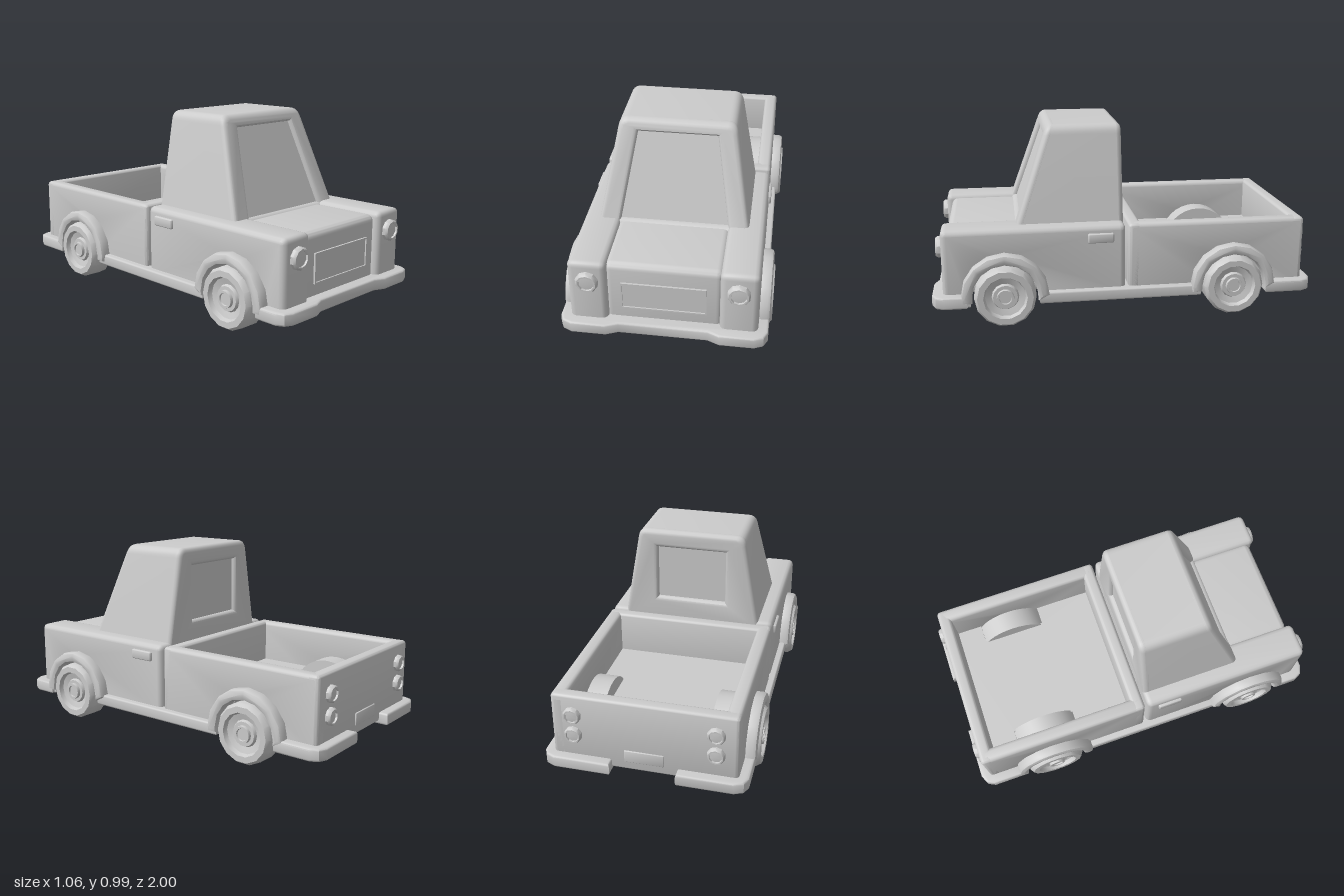
import * as THREE from 'three';
import { toCreasedNormals } from 'three/addons/utils/BufferGeometryUtils.js';
import { RoundedBoxGeometry } from 'three/addons/geometries/RoundedBoxGeometry.js';

const material = new THREE.MeshStandardMaterial({ color: 0xcccccc });
const WHEEL_Z = [0.63, -0.565];
const AXLE_Y = 0.16;
const WELL = 0.175;

export function createModel() {
  const model = new THREE.Group();

  const add = (name, geometry, x = 0, y = 0, z = 0) => {
    const mesh = new THREE.Mesh(toCreasedNormals(geometry, 0.6), material);
    mesh.name = name;
    mesh.position.set(x, y, z);
    model.add(mesh);
    return mesh;
  };
  const box = (name, w, h, d, x, y, z, r = 0.02) =>
    add(name, new RoundedBoxGeometry(w, h, d, 3, r), x, y, z);

  // Extrusion of total thickness t, with bevels kept inside the outline
  const extrude = (shape, t, b = 0, segments = 3, curveSegments = 6) =>
    new THREE.ExtrudeGeometry(shape, {
      depth: t - 2 * b, bevelEnabled: b > 0, bevelSize: b, bevelThickness: b,
      bevelOffset: -b, bevelSegments: segments, curveSegments,
    }).translate(0, 0, b);
  const polygon = (pts) => new THREE.Shape(pts.map(([x, y]) => new THREE.Vector2(x, y)));

  // Horizontal slab from an (x, z) outline, standing on y
  const slab = (name, pts, y, t, b = 0) =>
    add(name, extrude(polygon(pts.map(([x, z]) => [x, -z])), t, b).rotateX(-Math.PI / 2), 0, y, 0);

  // Side panel with a wheel opening, drawn in (-z, y) and extruded along x
  const sidePanel = (name, front, back, wheelZ, x0, x1, bevel) => {
    const s = new THREE.Shape(), u = -wheelZ, top = 0.505, r = 0.03;
    s.moveTo(-front, 0.12);
    s.lineTo(u - WELL, 0.12);
    s.absarc(u, AXLE_Y, WELL, Math.PI, 0, true);
    s.lineTo(u + WELL, 0.12);
    s.lineTo(-back, 0.12);
    s.lineTo(-back, top - r);
    s.quadraticCurveTo(-back, top, -back - r, top);
    s.lineTo(-front + r, top);
    s.quadraticCurveTo(-front, top, -front, top - r);
    for (const x of [x0, -x1]) {
      add(name, extrude(s, x1 - x0, bevel).rotateY(Math.PI / 2), x, 0, 0);
    }
  };

  // Floor plate with sills, notched for the four wheels
  const half = [[0.5, 0.93]];
  for (const z of WHEEL_Z) {
    half.push([0.5, z + WELL], [0.29, z + WELL], [0.29, z - WELL], [0.5, z - WELL]);
  }
  half.push([0.5, -0.93]);
  const mirror = (pts) => [...pts, ...pts.map(([x, z]) => [-x, z]).reverse()];
  slab('chassis', mirror(half), 0.11, 0.06, 0.01);

  // Front body: fenders, bonnet and grille
  sidePanel('fender', 0.945, 0.005, WHEEL_Z[0], 0.275, 0.465, 0.03);
  box('bonnet', 0.58, 0.36, 0.91, 0, 0.31, 0.46, 0.035);
  const grilleFrame = polygon([[-0.21, 0.232], [0.21, 0.232], [0.21, 0.385], [-0.21, 0.385]]);
  grilleFrame.holes.push(polygon([[-0.203, 0.239], [-0.203, 0.378], [0.203, 0.378], [0.203, 0.239]]));
  add('grilleFrame', extrude(grilleFrame, 0.025), 0, 0, 0.9);
  add('grille', new THREE.BoxGeometry(0.41, 0.145, 0.02), 0, 0.3085, 0.908);

  // Cabin: tapered core with framed, recessed front and rear windows
  const cabinOutline = () => {
    const s = new THREE.Shape();
    s.moveTo(-0.393, 0.45);
    s.lineTo(0.393, 0.45);
    s.lineTo(0.303, 0.95);
    s.quadraticCurveTo(0.295, 1, 0.25, 1);
    s.lineTo(-0.25, 1);
    s.quadraticCurveTo(-0.295, 1, -0.303, 0.95);
    return s;
  };
  const rake = (g) => {
    const p = g.attributes.position;
    for (let i = 0; i < p.count; i++) {
      if (p.getZ(i) > 0.2) p.setZ(i, p.getZ(i) + (0.5 - p.getY(i)) * 0.35);
    }
    g.computeVertexNormals();
    return g;
  };
  const edge = 0.025;
  add('cabin', rake(extrude(cabinOutline(), 0.51).translate(0, 0, 0.03)));
  const windscreen = cabinOutline();
  windscreen.holes.push(polygon([[-0.275, 0.5], [-0.202, 0.933], [0.202, 0.933], [0.275, 0.5]]));
  add('windscreenFrame', rake(extrude(windscreen, 0.06, edge).translate(0, 0, 0.505)));
  const rearWindow = cabinOutline();
  rearWindow.holes.push(polygon([[-0.19, 0.6], [-0.19, 0.9], [0.19, 0.9], [0.19, 0.6]]));
  add('rearWindowFrame', extrude(rearWindow, 0.06, edge), 0, 0, 0.005);

  // Cargo bed
  sidePanel('bedSide', -0.01, -0.95, WHEEL_Z[1], 0.39, 0.465, 0.02);
  for (const z of [-0.045, -0.915]) box('bedEnd', 0.93, 0.385, 0.07, 0, 0.3125, z);
  const rz = WHEEL_Z[1];
  slab('bedFloor', mirror([[0.4, -0.03], [0.4, rz + WELL], [0.29, rz + WELL],
    [0.29, rz - WELL], [0.4, rz - WELL], [0.4, -0.93]]), 0.12, 0.16);
  for (const side of [1, -1]) {
    const hump = new THREE.Shape();
    hump.absarc(0, 0, 0.205, 0, Math.PI, false);
    hump.absarc(0, 0, WELL, Math.PI, 0, true);
    add('wheelHump', extrude(hump, 0.12, 0, 1, 8).rotateY(Math.PI / 2),
      side > 0 ? 0.28 : -0.4, AXLE_Y, rz);
    const cap = new THREE.Shape();
    cap.absarc(0, 0, 0.2, 0, Math.PI, false);
    add('humpCap', extrude(cap, 0.01, 0, 1, 8).rotateY(Math.PI / 2),
      side > 0 ? 0.28 : -0.29, AXLE_Y, rz);
  }

  // Bumpers
  slab('frontBumper', mirror([[0.515, 0.82], [0.515, 0.94], [0.495, 0.98], [0.45, 1],
    [0.28, 1], [0.22, 0.975]]), 0.108, 0.064, 0.012);
  for (const s of [1, -1]) {
    const pts = [[0.165, -0.9], [0.165, -1], [0.45, -1], [0.495, -0.98],
      [0.515, -0.94], [0.515, -0.74], [0.42, -0.74], [0.42, -0.9]];
    slab('rearBumper', pts.map(([x, z]) => [s * x, z]), 0.108, 0.064, 0.012);
  }
  box('rearPlate', 0.2, 0.065, 0.016, 0, 0.205, -0.949, 0.004);

  // Lamps: bezel ring around a recessed lens, built along +y then turned to face z
  const lamp = (name, r, x, y, z, facing) => {
    const pts = [[r, -0.02], [r, 0.018], [r * 0.85, 0.03], [r * 0.7, 0.03], [r * 0.68, 0.02], [0, 0.024]];
    const g = new THREE.LatheGeometry(pts.map(([a, b]) => new THREE.Vector2(a, b)), 10);
    add(name, g.rotateX(facing * Math.PI / 2), x, y, z);
  };

  // Wheel profile: hollow inner side, tyre, sunken rim and raised hub
  const wheelProfile = [[0.001, 0.47], [0.1, 0.47], [0.1, 0.395], [0.15, 0.395], [0.158, 0.405],
    [0.158, 0.505], [0.143, 0.528], [0.112, 0.528], [0.103, 0.505], [0.07, 0.495],
    [0.063, 0.51], [0.045, 0.51], [0.043, 0.526], [0.032, 0.526], [0.03, 0.518], [0, 0.518]]
    .map(([r, h]) => new THREE.Vector2(r, h));

  for (const s of [1, -1]) {
    lamp('headlight', 0.057, s * 0.367, 0.4, 0.943, 1);
    for (const y of [0.4, 0.29]) lamp('tailLight', 0.045, s * 0.355, y, -0.945, -1);
    box('doorHandle', 0.04, 0.05, 0.135, s * 0.46, 0.44, 0.135, 0.008);

    for (const z of WHEEL_Z) {
      const wheel = new THREE.LatheGeometry(wheelProfile, 14);
      add('wheel', wheel.rotateZ(-s * Math.PI / 2), 0, AXLE_Y, z);

      // Wheel arch flare
      const arch = new THREE.Shape();
      arch.moveTo(0.22, -0.03);
      arch.absarc(0, 0, 0.225, 0, Math.PI, false);
      arch.lineTo(-0.22, -0.03);
      arch.lineTo(-0.168, -0.03);
      arch.absarc(0, 0, 0.168, Math.PI, 0, true);
      arch.lineTo(0.168, -0.03);
      add('wheelArch', extrude(arch, 0.09, 0.02, 2, 4).rotateY(Math.PI / 2),
        s > 0 ? 0.43 : -0.52, AXLE_Y, z);
    }
  }

  // Axles
  for (const z of WHEEL_Z) {
    add('axle', new THREE.CylinderGeometry(0.062, 0.062, 0.95, 12).rotateZ(Math.PI / 2), 0, AXLE_Y, z);
  }
  return model;
}
